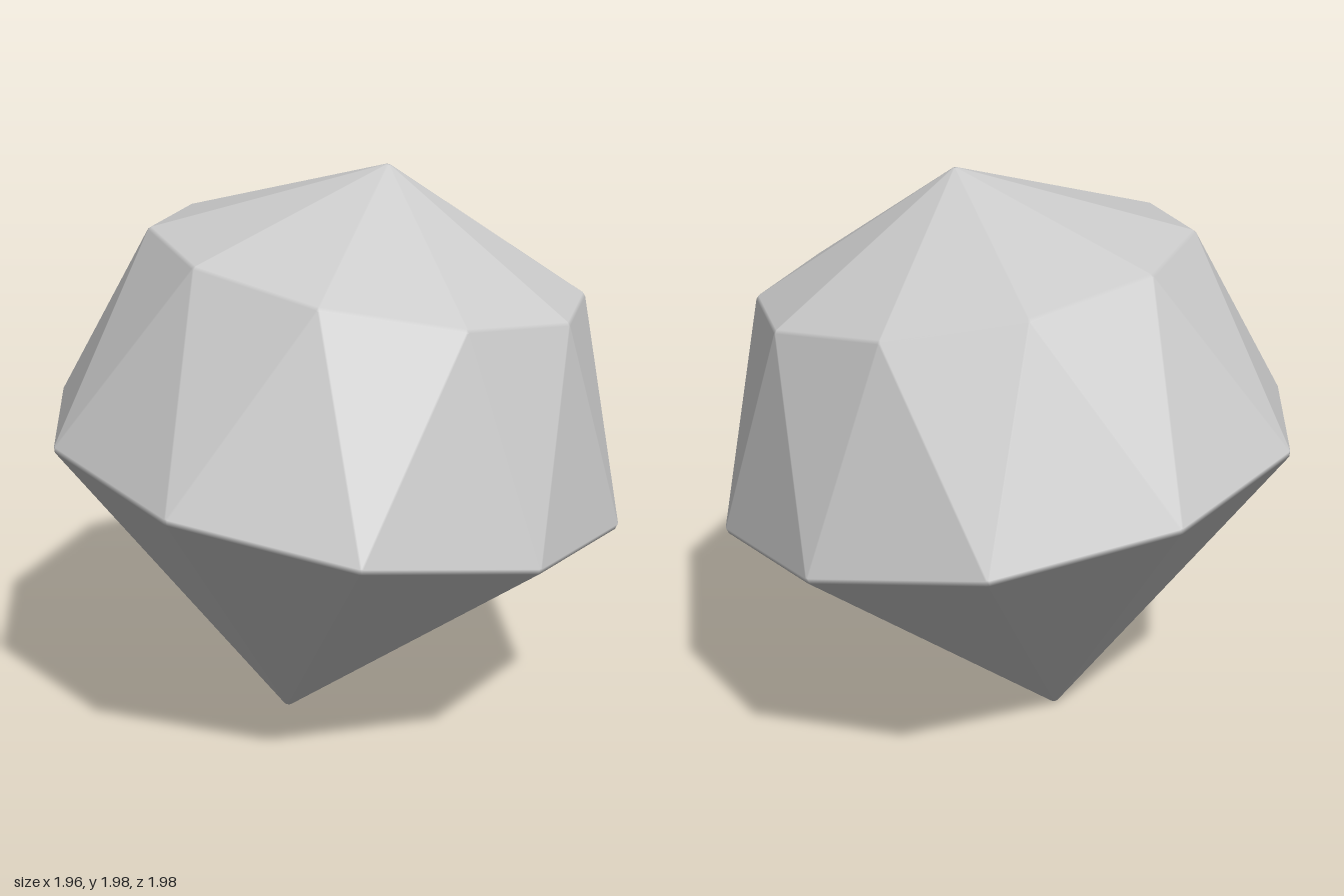
import * as THREE from 'three';

const SIDES = 10;
const BEVEL = 0.02;

// Corners of the gem core along its own axis: culet, girdle ring, crown ring, tip
function gemCorners() {
  const pts = [new THREE.Vector3(0, 0.014, 0)];
  const ring = (radius, height, startDeg) => {
    for (let i = 0; i < SIDES; i++) {
      const a = THREE.MathUtils.degToRad(startDeg) + (i / SIDES) * Math.PI * 2;
      pts.push(new THREE.Vector3(radius * Math.cos(a), height, radius * Math.sin(a)));
    }
  };
  ring(0.987, 0.972, -9);
  ring(0.733, 1.662, 9);
  pts.push(new THREE.Vector3(0, 1.991, 0));
  return pts;
}

// Triangular facets: pavilion, zigzag band, crown
function gemFacets() {
  const facets = [];
  for (let i = 0; i < SIDES; i++) {
    const j = (i + 1) % SIDES;
    const g0 = 1 + i, g1 = 1 + j, c0 = 1 + SIDES + i, c1 = 1 + SIDES + j;
    facets.push([0, g0, g1], [g0, c0, g1], [g1, c0, c1], [c0, 2 * SIDES + 1, c1]);
  }
  return facets;
}

// Flat facets pushed out along their normals, joined by narrow rounded edges and corners
function bevelledGem(pts, facets, r) {
  const position = [], normal = [];
  const owner = new Map();
  const key = (a, b) => a + '_' + b;
  const normals = facets.map(([a, b, c]) =>
    new THREE.Triangle(pts[a], pts[b], pts[c]).getNormal(new THREE.Vector3()));
  const put = (v, f) => {
    position.push(...pts[v].clone().addScaledVector(normals[f], r).toArray());
    normal.push(...normals[f].toArray());
  };
  const tri = (...corners) => corners.forEach(([v, f]) => put(v, f));

  facets.forEach(([a, b, c], f) => {
    tri([a, f], [b, f], [c, f]);
    [[a, b], [b, c], [c, a]].forEach(([p, q]) => owner.set(key(p, q), f));
  });
  // Edge strips
  facets.forEach(([a, b, c], f) => {
    for (const [p, q] of [[a, b], [b, c], [c, a]]) {
      if (p > q) continue;
      const g = owner.get(key(q, p));
      tri([q, f], [p, f], [p, g]);
      tri([q, f], [p, g], [q, g]);
    }
  });
  // Corner caps
  pts.forEach((_, v) => {
    const start = facets.findIndex((t) => t.includes(v));
    const loop = [];
    let f = start;
    do {
      loop.push(f);
      const t = facets[f];
      f = owner.get(key(v, t[(t.indexOf(v) + 2) % 3]));
    } while (f !== start);
    for (let i = 1; i < loop.length - 1; i++) {
      tri([v, loop[0]], [v, loop[i]], [v, loop[i + 1]]);
    }
  });

  const geo = new THREE.BufferGeometry();
  geo.setAttribute('position', new THREE.Float32BufferAttribute(position, 3));
  geo.setAttribute('normal', new THREE.Float32BufferAttribute(normal, 3));
  return geo;
}

export function createModel() {
  const pts = gemCorners();
  // Turn every facet to face outward
  const centre = new THREE.Vector3(0, 1, 0);
  const facets = gemFacets().map(([a, b, c]) => {
    const n = new THREE.Triangle(pts[a], pts[b], pts[c]).getNormal(new THREE.Vector3());
    return n.dot(pts[a].clone().sub(centre)) > 0 ? [a, b, c] : [a, c, b];
  });

  const gem = new THREE.Mesh(
    bevelledGem(pts, facets, BEVEL),
    new THREE.MeshStandardMaterial({ color: 0xcccccc })
  );
  gem.name = 'gem';
  // Lean the gem on its tip
  const axis = new THREE.Vector3(0.32, 1.985, -0.14).normalize();
  gem.quaternion.setFromUnitVectors(new THREE.Vector3(0, 1, 0), axis);
  gem.position.set(-0.16, 0, 0.07);

  const group = new THREE.Group();
  group.name = 'tiltedGem';
  group.add(gem);
  return group;
}
